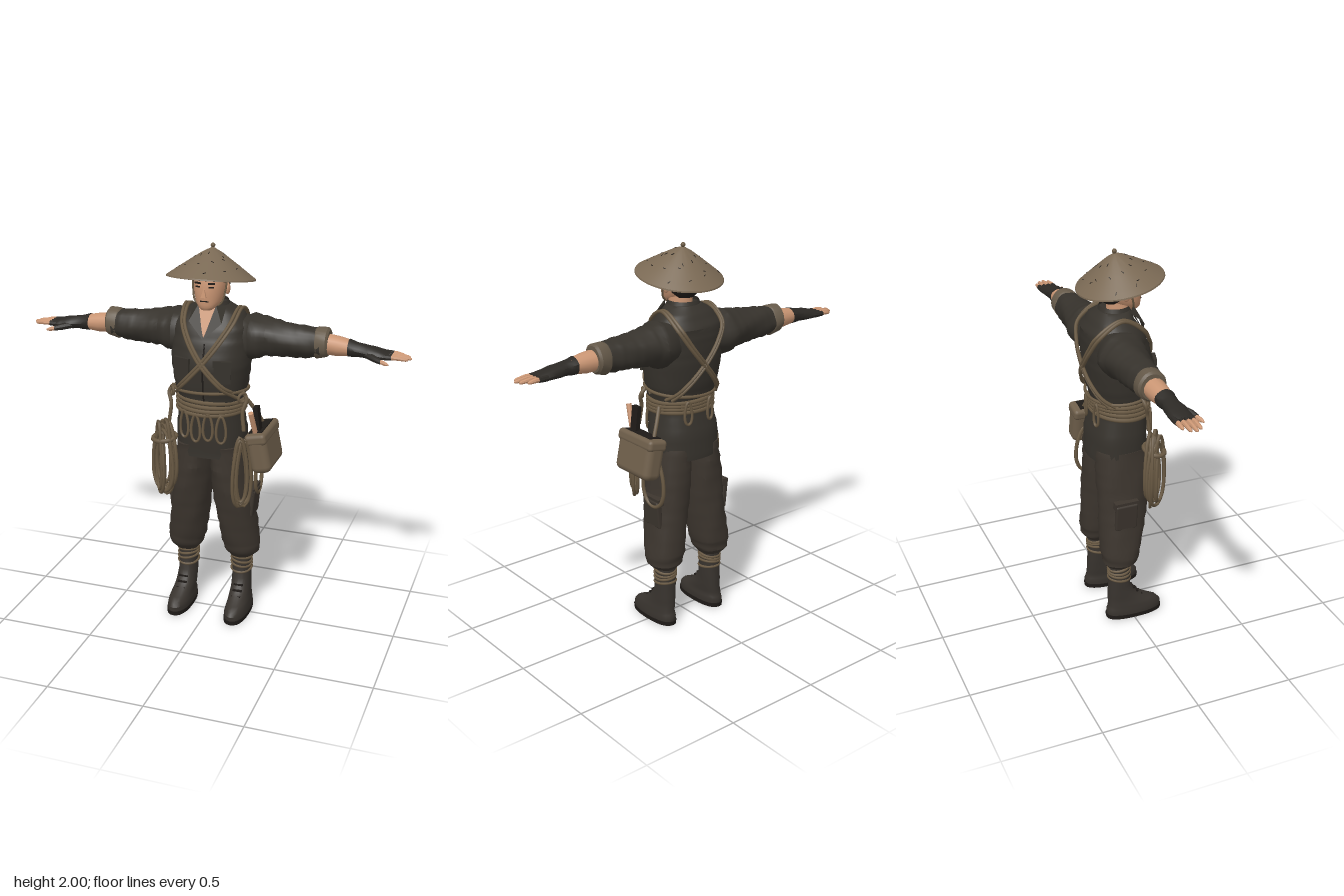
import * as THREE from 'three';
import { toCreasedNormals } from 'three/addons/utils/BufferGeometryUtils.js';
import { RoundedBoxGeometry } from 'three/addons/geometries/RoundedBoxGeometry.js';

const V = (x, y, z) => new THREE.Vector3(x, y, z);
const mat = (name, color, side = THREE.FrontSide) => {
  const m = new THREE.MeshStandardMaterial({ color, side });
  m.name = name;
  return m;
};

// Loft of oval sections [t, c1, c2, r1, r2] along y or x; fold adds cloth wrinkles
function loft(rings, { axis = 'y', n = 24, pow = 2, fold = 0, steps = 1 } = {}) {
  const rows = [];
  for (let i = 0; i < rings.length - 1; i++)
    for (let s = 0; s < steps; s++) rows.push(rings[i].map((v, k) => v + (rings[i + 1][k] - v) * s / steps));
  rows.push(rings[rings.length - 1]);
  const at = (t, p, q) => axis === 'y' ? [p, t, q] : [t, p, q];
  const pos = [], idx = [], se = v => Math.sign(v) * Math.abs(v) ** (2 / pow);
  for (const [t, c1, c2, r1, r2] of rows)
    for (let j = 0; j < n; j++) {
      const a = j / n * Math.PI * 2 * (axis === 'y' ? 1 : -1);
      const k = 1 + fold * Math.sin(a * 3 + t * 43) * Math.cos(a * 2 - t * 61 + 1);
      pos.push(...at(t, c1 + r1 * k * se(Math.cos(a)), c2 + r2 * k * se(Math.sin(a))));
    }
  const last = (rows.length - 1) * n, c0 = rows.length * n;
  for (const r of [rows[0], rows[rows.length - 1]]) pos.push(...at(r[0], r[1], r[2]));
  for (let j = 0; j < n; j++) {
    const k = (j + 1) % n;
    for (let i = 0; i < last; i += n) idx.push(i + j, i + n + j, i + k, i + k, i + n + j, i + n + k);
    idx.push(c0, j, k, c0 + 1, last + k, last + j);
  }
  const g = new THREE.BufferGeometry();
  g.setAttribute('position', new THREE.Float32BufferAttribute(pos, 3));
  g.setIndex(idx);
  return toCreasedNormals(g, 0.6);
}

function mirrorX(geo) {
  const g = geo.index ? geo.toNonIndexed() : geo.clone();
  g.scale(-1, 1, 1);
  const idx = [];
  for (let i = 0; i < g.attributes.position.count; i += 3) idx.push(i, i + 2, i + 1);
  g.clearGroups();
  g.setIndex(idx);
  return g;
}

const tube = (pts, r, closed = false, seg = 40) =>
  new THREE.TubeGeometry(new THREE.CatmullRomCurve3(pts, closed), seg, r, 6, closed);

// Upright rope loop turned by yaw about its centre
const loop = (c, a, b, yaw, r) => tube(Array.from({ length: 12 }, (_, i) => {
  const t = i / 12 * Math.PI * 2, w = a * Math.cos(t) * (1 - 0.25 * Math.sin(t));
  return V(c[0] + w * Math.cos(yaw), c[1] + b * Math.sin(t), c[2] + w * Math.sin(yaw));
}), r, true);

const box = (w, h, d, x, y, z, ry = 0, rz = 0) =>
  new THREE.BoxGeometry(w, h, d).rotateZ(rz).rotateY(ry).translate(x, y, z);

const TORSO = [
  [0.92, 0, -0.025, 0.18, 0.15], [1.05, 0, -0.02, 0.18, 0.148], [1.17, 0, -0.005, 0.165, 0.135],
  [1.22, 0, 0, 0.165, 0.138], [1.3, 0, -0.003, 0.185, 0.158], [1.42, 0, -0.01, 0.2, 0.168],
  [1.52, 0, -0.025, 0.2, 0.158], [1.6, 0, -0.04, 0.195, 0.14], [1.66, 0, -0.045, 0.145, 0.1], [1.7, 0, -0.03, 0.085, 0.08]];
const TPOW = 2.4;

// Point just off the jacket at x, y on its front (side 1) or back (side -1)
function onJacket(x, y, side, off = 0.012) {
  const i = Math.max(0, TORSO.findIndex(r => r[0] > y) - 1), p = TORSO[i], q = TORSO[i + 1], f = (y - p[0]) / (q[0] - p[0]);
  const [, , cz, rx, rz] = p.map((v, k) => v + (q[k] - v) * f);
  const u = Math.min(1, Math.abs(x) / rx);
  return V(x, y, cz + side * (rz * (1 - u ** TPOW) ** (1 / TPOW) + off));
}

export function createModel() {
  const root = new THREE.Group();
  const M = {
    jacket: mat('jacket cloth', 0x36322c, THREE.DoubleSide), trousers: mat('trouser cloth', 0x3c352e),
    boot: mat('boot leather', 0x38332e), skin: mat('skin', 0xc99573), dark: mat('hair and dark trim', 0x1f1b18),
    rope: mat('rope', 0x695943), hat: mat('hat straw', 0x7a6954, THREE.DoubleSide),
    bag: mat('bag canvas', 0x6f5f4b), cuff: mat('cuff lining', 0x665a4a), glove: mat('glove', 0x2c2925)
  };
  const add = (name, geo, m) => {
    const mesh = new THREE.Mesh(geo, m);
    mesh.name = name;
    root.add(mesh);
    return mesh;
  };
  const pair = (name, geo, m) => { add(name + 'Left', geo, m); add(name + 'Right', mirrorX(geo), m); };

  // Jacket with collar, open neck and pockets
  add('jacket', loft(TORSO, { n: 36, pow: TPOW, fold: 0.022, steps: 4 }), M.jacket);
  add('collar', new THREE.CylinderGeometry(0.078, 0.105, 0.075, 20, 1, true, 0.55, Math.PI * 2 - 1.1).scale(1, 1, 0.95).translate(0, 1.682, -0.025), M.jacket);
  const neckV = new THREE.BufferGeometry();
  neckV.setAttribute('position', new THREE.Float32BufferAttribute([-0.055, 1.7, 0.06, 0, 1.56, 0.128, 0.055, 1.7, 0.06], 3));
  neckV.computeVertexNormals();
  add('openNeck', neckV, M.skin);
  const lapel = new THREE.BufferGeometry();
  lapel.setAttribute('position', new THREE.Float32BufferAttribute(
    [0.045, 1.71, 0.062, 0, 1.55, 0.134, 0.085, 1.63, 0.1, 0.045, 1.71, 0.062, 0.085, 1.63, 0.1, 0.085, 1.7, 0.02], 3));
  lapel.computeVertexNormals();
  pair('lapel', lapel, M.jacket);
  pair('chestPocket', box(0.085, 0.1, 0.012, 0.105, 1.39, 0.147, 0.3), M.jacket);
  pair('chestPocketFlap', box(0.092, 0.03, 0.016, 0.105, 1.44, 0.147, 0.3), M.jacket);
  add('placket', tube([1.53, 1.42, 1.3, 1.22].map(y => onJacket(0.008, y, 1, 0.001)), 0.004), M.dark);

  // Sleeves, cuffs, forearms and half gloves
  pair('sleeve', loft([[0.1, 1.53, -0.055, 0.1, 0.1], [0.2, 1.53, -0.065, 0.117, 0.125], [0.28, 1.537, -0.07, 0.095, 0.105],
    [0.38, 1.532, -0.07, 0.084, 0.09], [0.47, 1.53, -0.07, 0.08, 0.08], [0.55, 1.53, -0.072, 0.068, 0.068]],
  { axis: 'x', fold: 0.06, steps: 4 }), M.jacket);
  pair('cuff', loft([[0.515, 1.53, -0.073, 0.072, 0.068], [0.525, 1.53, -0.073, 0.08, 0.073],
    [0.575, 1.535, -0.075, 0.074, 0.071], [0.585, 1.535, -0.075, 0.064, 0.06]], { axis: 'x', fold: 0.03 }), M.cuff);
  pair('forearm', loft([[0.56, 1.53, -0.07, 0.052, 0.054], [0.63, 1.525, -0.068, 0.05, 0.051], [0.71, 1.522, -0.065, 0.037, 0.042]],
    { axis: 'x', n: 14 }), M.skin);
  pair('glove', loft([[0.685, 1.523, -0.065, 0.043, 0.05], [0.74, 1.518, -0.063, 0.034, 0.042], [0.8, 1.512, -0.06, 0.031, 0.052],
    [0.86, 1.507, -0.062, 0.022, 0.052], [0.885, 1.505, -0.064, 0.014, 0.045]], { axis: 'x', n: 16, fold: 0.05, steps: 3 }), M.glove);
  [0.955, 0.985, 0.995, 0.98].forEach((tip, i) => {
    const z = -0.1 + i * 0.025, mid = (0.87 + tip) / 2;
    pair('finger' + i, loft([[0.86, 1.506, z, 0.012, 0.0125], [mid, 1.507, z, 0.0125, 0.0115], [tip - 0.01, 1.503, z, 0.009, 0.009],
      [tip, 1.502, z, 0.004, 0.004]], { axis: 'x', n: 8 }), M.skin);
    pair('fingerSleeve' + i, loft([[0.85, 1.506, z, 0.016, 0.014], [0.9, 1.506, z, 0.014, 0.0135]], { axis: 'x', n: 8 }), M.glove);
  });
  pair('thumbSleeve', loft([[0.77, 1.508, -0.04, 0.02, 0.025], [0.82, 1.5, -0.004, 0.018, 0.02], [0.855, 1.493, 0.012, 0.014, 0.014]],
    { axis: 'x', n: 8 }), M.glove);
  pair('thumb', loft([[0.84, 1.495, 0.006, 0.012, 0.012], [0.88, 1.488, 0.022, 0.011, 0.01], [0.897, 1.485, 0.027, 0.004, 0.004]],
    { axis: 'x', n: 8 }), M.skin);

  // Head
  add('neck', loft([[1.56, 0, -0.01, 0.065, 0.075], [1.66, 0, 0, 0.06, 0.062], [1.76, 0, 0, 0.057, 0.065]]), M.skin);
  add('head', loft([[1.69, 0, 0.07, 0.028, 0.028], [1.705, 0, 0.055, 0.048, 0.052], [1.735, 0, 0.03, 0.066, 0.08],
    [1.78, 0, 0.012, 0.077, 0.1], [1.82, 0, 0.006, 0.08, 0.103], [1.87, 0, 0, 0.076, 0.097], [1.91, 0, -0.01, 0.045, 0.055]],
  { n: 24, pow: 2.2, steps: 2 }), M.skin);
  add('hair', loft([[1.735, 0, -0.045, 0.045, 0.035], [1.76, 0, -0.04, 0.073, 0.057], [1.8, 0, -0.042, 0.085, 0.068],
    [1.86, 0, -0.035, 0.085, 0.075], [1.9, 0, -0.02, 0.06, 0.06]], { fold: 0.03 }), M.dark);
  add('nose', new THREE.ConeGeometry(0.017, 0.055, 4).rotateY(Math.PI / 4).rotateX(-0.2).translate(0, 1.785, 0.113), M.skin);
  add('mouth', box(0.042, 0.005, 0.006, 0, 1.738, 0.108), M.dark);
  pair('eye', box(0.026, 0.007, 0.006, 0.033, 1.808, 0.102, 0.3), M.dark);
  pair('eyebrow', box(0.034, 0.008, 0.008, 0.034, 1.826, 0.101, 0.3), M.dark);
  pair('ear', new THREE.SphereGeometry(1, 10, 8).scale(0.013, 0.03, 0.02).translate(0.085, 1.785, 0.005), M.skin);
  pair('chinStrap', tube([V(0.088, 1.86, 0.02), V(0.083, 1.78, 0.035), V(0.066, 1.72, 0.05), V(0, 1.686, 0.062)], 0.005), M.rope);

  // Conical hat, tilted back, with stitches
  const hat = new THREE.Group();
  hat.name = 'hat';
  hat.position.set(0, 1.84, 0.005);
  hat.rotation.x = -0.185;
  const cone = [[0.001, 0.142], [0.05, 0.116], [0.12, 0.068], [0.19, 0.018], [0.219, -0.003], [0.221, -0.01], [0.214, -0.011], [0.12, 0.056], [0.001, 0.13]];
  const hatBits = [['hatCone', toCreasedNormals(new THREE.LatheGeometry(cone.map(p => new THREE.Vector2(...p)).reverse(), 40), 0.6), M.hat],
    ['hatKnob', new THREE.SphereGeometry(0.012, 10, 8).translate(0, 0.149, 0), M.rope]];
  for (let i = 0; i < 26; i++) {
    const r = 0.055 + (i * 37 % 26) / 26 * 0.145, h = 0.113 - (r - 0.055) * 0.7;
    hatBits.push(['hatStitch', new THREE.BoxGeometry(0.003, 0.003, 0.016).rotateY(i * 1.3).rotateX(0.62).translate(0, h, r).rotateY(i * 2.4), M.dark]);
  }
  hatBits.forEach(([n, g, m]) => { const s = new THREE.Mesh(g, m); s.name = n; hat.add(s); });
  root.add(hat);

  // Trousers bloused over wrapped boots
  pair('trouserLeg', loft([[0.32, 0.152, -0.063, 0.06, 0.065], [0.35, 0.158, -0.06, 0.088, 0.092], [0.41, 0.149, -0.055, 0.1, 0.105],
    [0.55, 0.13, -0.04, 0.1, 0.12], [0.7, 0.113, -0.027, 0.1, 0.133], [0.85, 0.097, -0.022, 0.098, 0.14], [0.98, 0.088, -0.02, 0.09, 0.138]],
  { fold: 0.045, pow: 2.2, steps: 4 }), M.trousers);
  pair('thighPocket', new RoundedBoxGeometry(0.03, 0.15, 0.12, 1, 0.01).rotateZ(-0.1).translate(0.218, 0.64, -0.05), M.trousers);
  pair('thighPocketFlap', box(0.034, 0.04, 0.126, 0.215, 0.71, -0.05, 0, -0.1), M.trousers);
  pair('boot', loft([[0.015, 0.16, 0.015, 0.059, 0.152], [0.045, 0.16, 0.017, 0.06, 0.153], [0.07, 0.16, 0.008, 0.056, 0.138],
    [0.095, 0.157, -0.015, 0.053, 0.11], [0.13, 0.155, -0.045, 0.051, 0.08], [0.19, 0.152, -0.063, 0.05, 0.059], [0.34, 0.15, -0.063, 0.05, 0.056]],
  { pow: 2.3, fold: 0.02, steps: 2 }), M.boot);
  pair('sole', loft([[0, 0.16, 0.016, 0.061, 0.155], [0.022, 0.16, 0.016, 0.062, 0.157]], { pow: 2.4 }), M.dark);
  const band = (y, cx, cz, rx, rz, tilt, r) => tube(Array.from({ length: 16 }, (_, i) => {
    const a = i / 16 * Math.PI * 2;
    return V(cx + rx * Math.cos(a), y + tilt * Math.sin(a + y * 40), cz + rz * Math.sin(a));
  }), r, true, 48);
  [0.235, 0.265, 0.285, 0.305].forEach((y, i) => pair('ankleWrap' + i, band(y, 0.151, -0.063, 0.053, 0.058, 0.008, 0.007), M.rope));
  [0.11, 0.135, 0.16].forEach((y, i) => pair('bootLace' + i, box(0.05, 0.008, 0.012, 0.156, y, 0.055 - i * 0.022), M.dark));

  // Rope belt and waist sling
  [1.165, 1.185, 1.205, 1.225].forEach((y, i) => add('beltRope' + i, band(y, 0, -0.002, 0.174, 0.147, 0.006, 0.011), M.rope));
  add('waistSling', band(1.268, 0, -0.002, 0.19, 0.165, 0.016, 0.008), M.rope);

  // Crossed chest and back harness, doubled
  for (const d of [0, 0.018]) {
    const strap = tube([
      ...[[-0.178, 1.25], [-0.12, 1.31], [-0.05, 1.385], [0.01, 1.455], [0.07, 1.54], [0.115, 1.62]].map(([x, y]) => onJacket(x + d, y, 1)),
      V(0.13 + d, 1.682, -0.04),
      ...[[0.125, 1.61], [0.08, 1.53], [0.01, 1.44], [-0.07, 1.35], [-0.13, 1.28], [-0.16, 1.24]].map(([x, y]) => onJacket(x + d, y, -1, 0.018))], 0.009, false, 70);
    pair('harness' + (d ? 'Outer' : 'Inner'), strap, M.rope);
  }
  pair('sideTie', tube([V(0.18, 1.28, 0.05), V(0.205, 1.24, 0.06), V(0.19, 1.18, 0.075), V(0.2, 1.08, 0.085)], 0.01), M.rope);
  pair('sideKnot', new THREE.TorusGeometry(0.022, 0.008, 6, 14).rotateY(0.9).translate(0.185, 1.25, 0.07), M.rope);

  // Loops hung from the belt
  [-0.1, -0.035, 0.03, 0.095].forEach((x, i) => add('beltLoop' + i,
    loop([x, 1.1 - (i % 2) * 0.012, onJacket(x, 1.1, 1).z + 0.006], 0.024, 0.072, -x * 3, 0.007), M.rope));
  [-0.07, 0.07].forEach((x, i) => add('backLoop' + i, loop([x, 1.17, onJacket(x, 1.18, -1).z - 0.008], 0.02, 0.06, x * 3, 0.007), M.rope));

  // Coiled ropes at both hips
  for (let i = 0; i < 10; i++) add('rightCoil' + i, loop([-0.225 + 0.022 * Math.sin(i * 2.1), 0.89 + 0.02 * Math.cos(i * 1.7), 0.1 + 0.02 * Math.sin(i * 3.3)],
    0.05 + (i % 4) * 0.011, 0.165 + (i % 5) * 0.008, 0.45 + (i % 3) * 0.25, 0.009), M.rope);
  add('rightCoilWrap', band(1.0, -0.22, 0.1, 0.06, 0.05, 0.01, 0.012), M.rope);
  for (let i = 0; i < 5; i++) add('leftCoil' + i, loop([0.2 + 0.012 * Math.sin(i * 2), 0.88 - (i % 3) * 0.015, 0.125 + 0.012 * Math.cos(i * 2.4)],
    0.035 + (i % 3) * 0.007, 0.17 + (i % 2) * 0.015, -0.5 - (i % 3) * 0.3, 0.009), M.rope);
  add('rearHangingRope', loop([0.235, 0.83, -0.075], 0.075, 0.145, 1.5, 0.01), M.rope);

  // Hip bag with tools
  const bagAt = (g, x = 0, y = 0, z = 0) => g.translate(x, y, z).rotateZ(0.2).translate(0.278, 0.968, -0.025);
  add('hipBag', bagAt(new RoundedBoxGeometry(0.105, 0.215, 0.265, 3, 0.035)), M.bag);
  add('bagFlap', bagAt(new RoundedBoxGeometry(0.112, 0.06, 0.27, 2, 0.02), 0, 0.075), M.bag);
  add('bagOpening', bagAt(new THREE.BoxGeometry(0.07, 0.006, 0.2), 0, 0.107), M.dark);
  add('toolHandle', new THREE.CylinderGeometry(0.014, 0.014, 0.15, 8).rotateX(0.35).rotateZ(0.1).translate(0.25, 1.12, 0.085), M.skin);
  add('toolSheath', box(0.025, 0.16, 0.045, 0.258, 1.12, 0.035, 0, 0.12), M.dark);
  add('bagStrap', tube([V(0.25, 1.06, -0.1), V(0.215, 1.13, -0.08), V(0.175, 1.2, -0.05)], 0.01), M.rope);

  return root;
}
